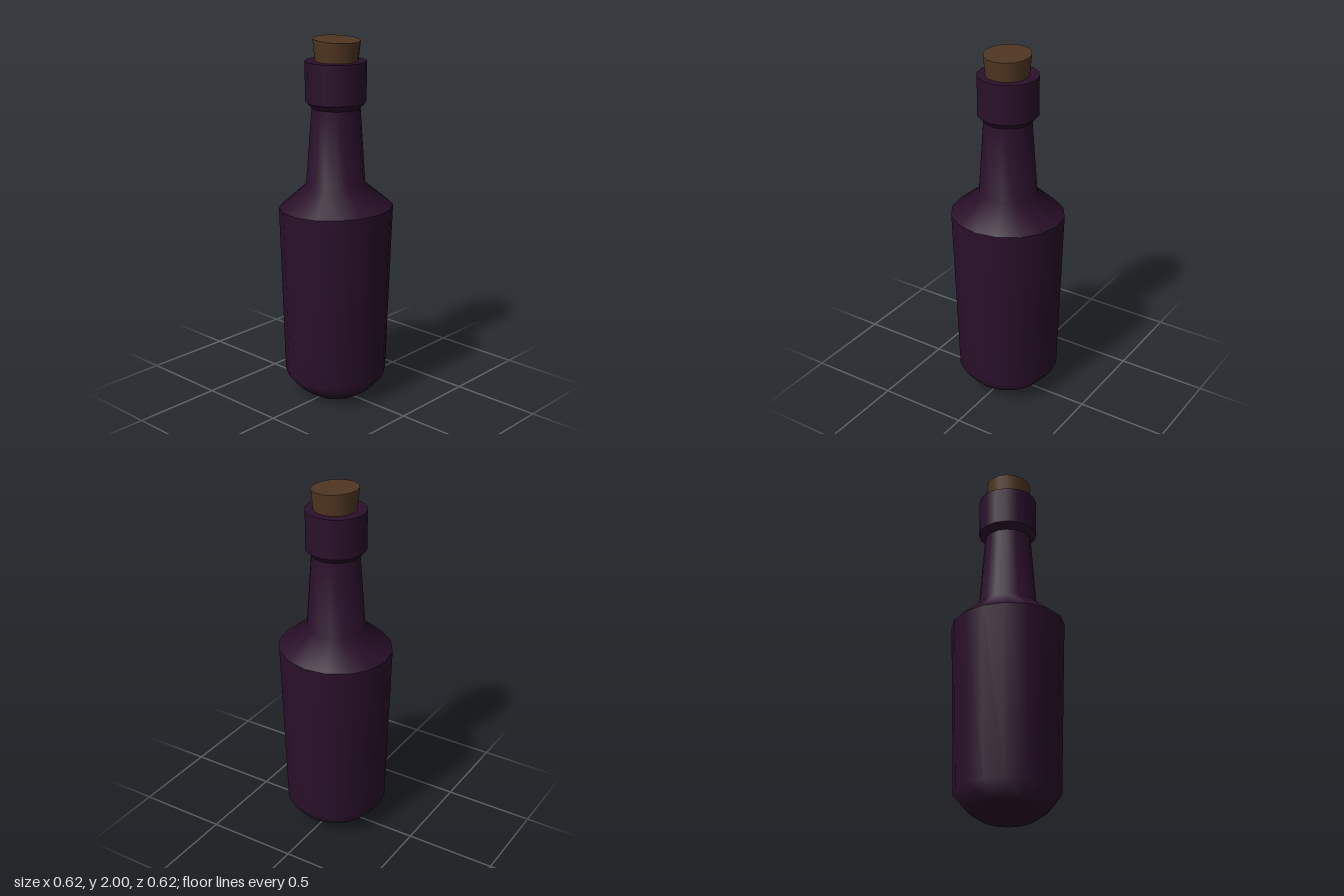
import * as THREE from 'three';

const SIDES = 16;

// Turned section with smooth normals; each ring is [radius, y, tilt along x, x offset].
function turned(name, rings, material) {
  const geometry = new THREE.LatheGeometry(rings.map(([r, y]) => new THREE.Vector2(r, y)), SIDES);
  const pos = geometry.attributes.position;
  for (let i = 0; i < pos.count; i++) {
    const [, , tilt = 0, shift = 0] = rings[i % rings.length];
    const x = pos.getX(i);
    pos.setX(i, x + shift);
    pos.setY(i, pos.getY(i) + x * tilt);
  }
  const mesh = new THREE.Mesh(geometry, material);
  mesh.name = name;
  return mesh;
}

export function createModel() {
  const glass = new THREE.MeshStandardMaterial({ color: 0x2a102a });
  glass.name = 'dark purple glass';
  const corkBrown = new THREE.MeshStandardMaterial({ color: 0x503622 });
  corkBrown.name = 'cork brown';

  // Rings shared by neighbouring sections, so the edges between them stay sharp
  const shoulderEdge = [0.31, 1.09, 0.035, 0];
  const neckTop = [0.13, 1.632, 0, 0];
  const collarBottom = [0.163, 1.665, 0, -0.002];
  const collarTop = [0.163, 1.88, 0, -0.002];
  const corkTop = [0.126, 1.992, -0.06, 0.004];

  const bottle = new THREE.Group();
  bottle.name = 'bottle';
  bottle.add(
    // Rounded base running up into the flared body
    turned('body', [[0, 0], [0.137, 0], [0.215, 0.052], [0.281, 0.13, 0, -0.004], shoulderEdge], glass),
    // Sloping shoulder and tapering neck
    turned('shoulderAndNeck', [shoulderEdge, [0.16, 1.217, 0.04, -0.003], neckTop], glass),
    // Collar around the mouth
    turned('collarUnderside', [neckTop, collarBottom], glass),
    turned('collar', [collarBottom, collarTop], glass),
    turned('collarTop', [collarTop, [0, 1.88]], glass)
  );

  // Slightly crooked stopper
  const stopper = new THREE.Group();
  stopper.name = 'stopper';
  stopper.add(
    turned('corkSide', [[0.114, 1.87, 0, 0.004], corkTop], corkBrown),
    turned('corkTop', [corkTop, [0, 1.992, 0, 0.004]], corkBrown)
  );

  const model = new THREE.Group();
  model.name = 'corkedBottle';
  model.add(bottle, stopper);
  return model;
}
